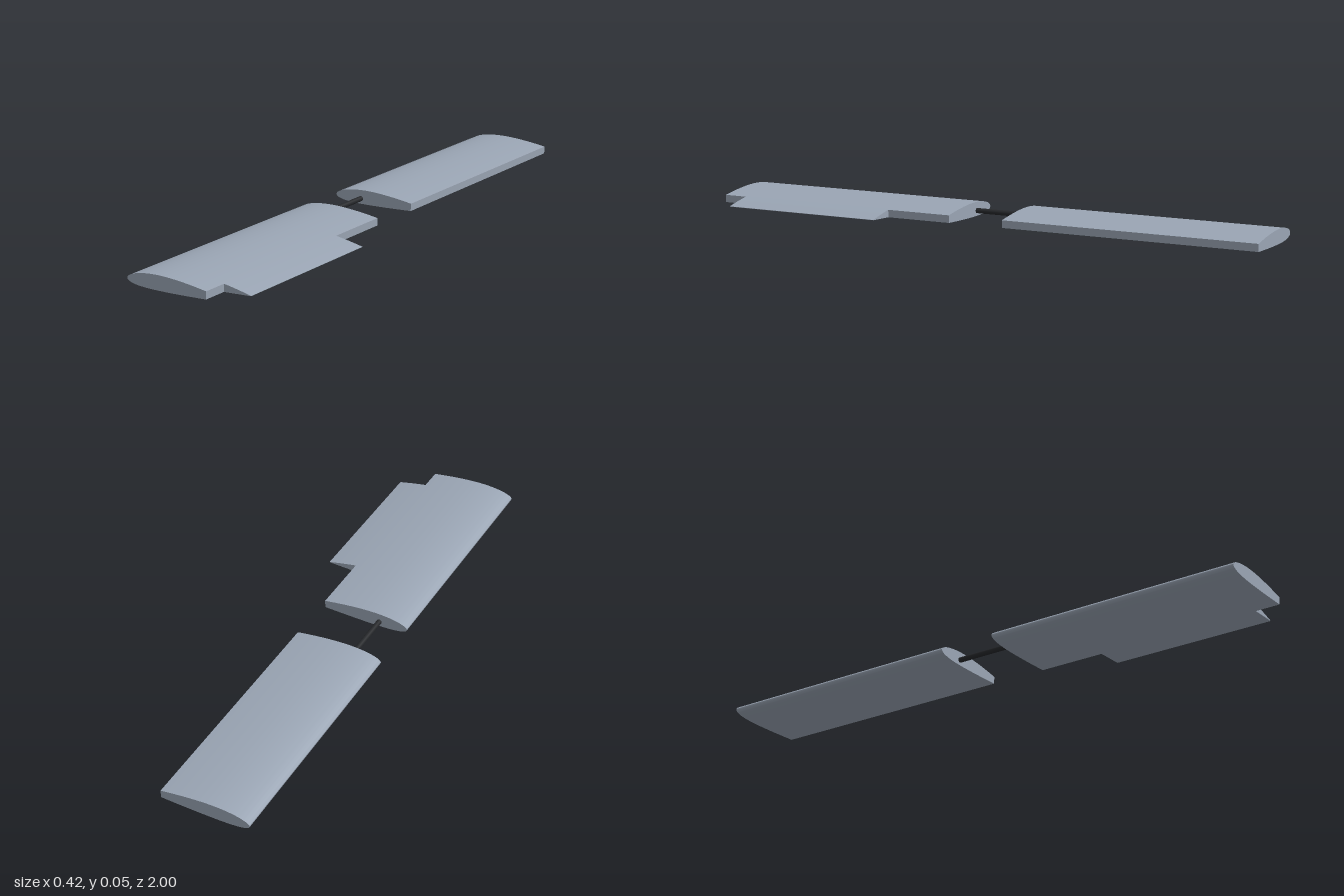
import * as THREE from 'three';
import { toCreasedNormals } from 'three/addons/utils/BufferGeometryUtils.js';

const CHORD = 0.417;
const LEADING_X = -CHORD / 2;
const CHORD_Y = 0.0177;
const HINGE = 0.75; // chord fraction where the main panel ends

// Point on a 12% thick, 2% cambered aerofoil; side is +1 for top, -1 for bottom
function foilPoint(t, side) {
  const half = 0.6 * (0.2969 * Math.sqrt(t) - 0.126 * t - 0.3516 * t ** 2 + 0.2843 * t ** 3 - 0.1015 * t ** 4);
  const p = 0.4;
  const q = t < p ? p * p : (1 - p) ** 2;
  const camber = (0.02 / q) * (t < p ? 2 * p * t - t * t : 1 - 2 * p + 2 * p * t - t * t);
  const angle = Math.atan((0.04 / q) * (p - t));
  return new THREE.Vector2(
    LEADING_X + CHORD * (t - side * half * Math.sin(angle)),
    CHORD_Y + CHORD * (camber + side * half * Math.cos(angle))
  );
}

// Slice of the aerofoil between two chord fractions, extruded along z
function foilPanel(name, from, to, z0, z1, material) {
  const steps = 36;
  const top = [], bottom = [];
  for (let i = 0; i <= steps; i++) {
    const u = i / steps;
    // points bunch up around the rounded nose
    const t = from === 0 ? to * (1 - Math.cos((u * Math.PI) / 2)) : from + (to - from) * u;
    top.push(foilPoint(t, 1));
    if (from > 0 || i > 0) bottom.push(foilPoint(t, -1));
  }
  const shape = new THREE.Shape([...bottom, ...top.reverse()]);
  const geometry = new THREE.ExtrudeGeometry(shape, { depth: z1 - z0, bevelEnabled: false });
  geometry.translate(0, 0, z0);
  const mesh = new THREE.Mesh(toCreasedNormals(geometry, 0.6), material);
  mesh.name = name;
  return mesh;
}

export function createModel() {
  const skin = new THREE.MeshStandardMaterial({ color: 0x9aa5b4 });
  skin.name = 'grey blue skin';
  const dark = new THREE.MeshStandardMaterial({ color: 0x26282b });
  dark.name = 'dark spar';

  const model = new THREE.Group();
  model.name = 'wingPair';

  // Two main panels and the trailing flap on the front one
  model.add(
    foilPanel('frontWingPanel', 0, HINGE, 0.1, 1, skin),
    foilPanel('rearWingPanel', 0, HINGE, -1, -0.1, skin),
    foilPanel('trailingFlap', HINGE, 1, 0.335, 0.915, skin)
  );

  // Round spar joining the panels at quarter chord
  const spar = new THREE.Mesh(new THREE.CylinderGeometry(0.009, 0.009, 0.22, 24), dark);
  spar.name = 'spar';
  spar.rotation.x = Math.PI / 2;
  spar.position.set(LEADING_X + CHORD * 0.25, 0.019, 0);
  model.add(spar);

  return model;
}
